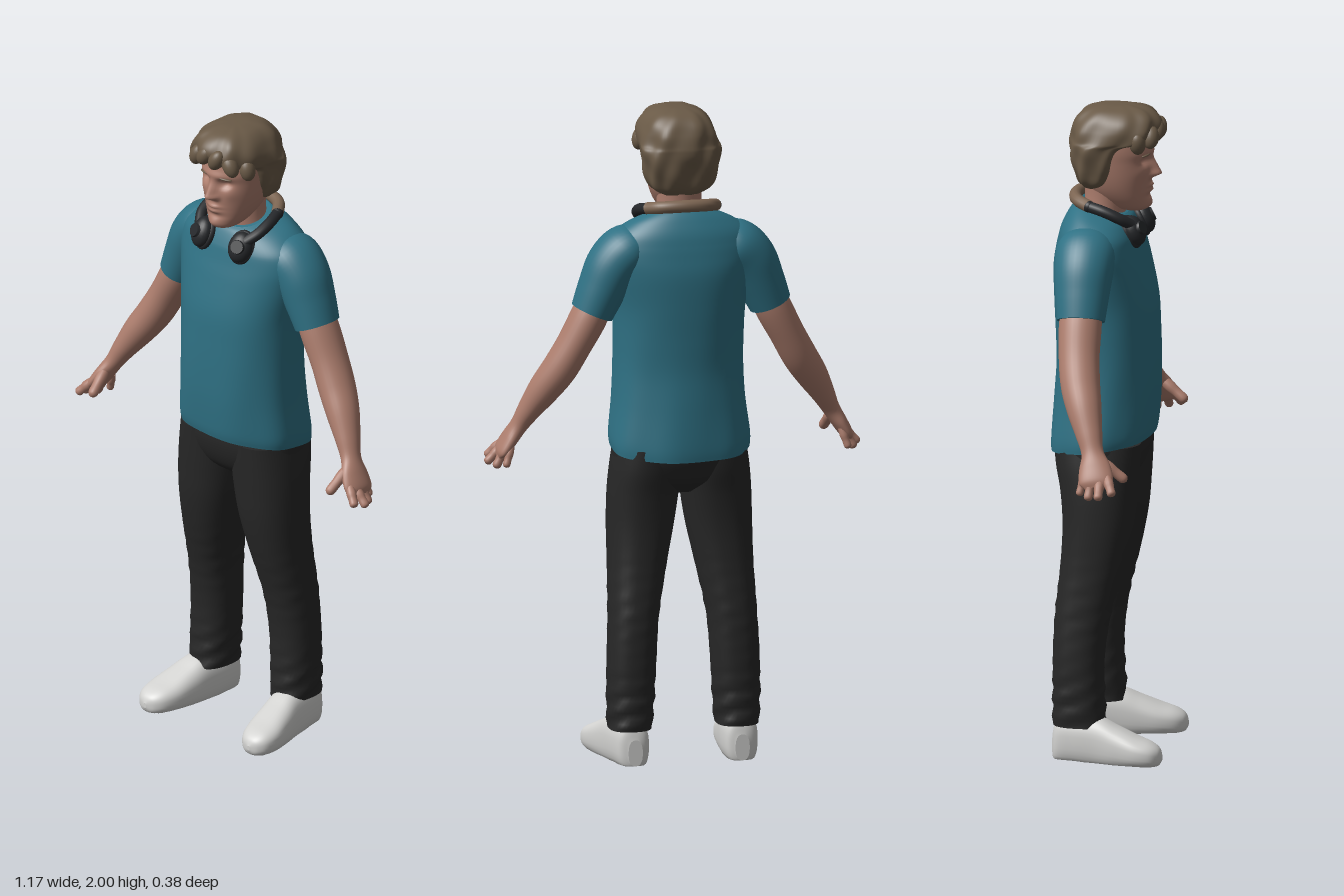
import * as THREE from 'three';

const mat = (name, color) => { const m = new THREE.MeshStandardMaterial({ color }); m.name = name; return m; };
const V = (x, y, z) => new THREE.Vector3(x, y, z);
const gauss = (d, w) => Math.exp(-(d / w) * (d / w));
const Y = V(0, 1, 0), Z = V(0, 0, 1);

// Smooth interpolation through rows of numbers
function sample(keys, t) {
  const f = t * (keys.length - 1), i = Math.min(Math.floor(f), keys.length - 2), u = f - i;
  const k = j => keys[Math.max(0, Math.min(keys.length - 1, j))];
  return keys[i].map((b, c) => {
    const a = k(i - 1)[c], d = k(i + 1)[c], e = k(i + 2)[c];
    return b + 0.5 * u * (d - a + u * (2 * a - 5 * b + 4 * d - e + u * (3 * (b - d) + e - a)));
  });
}

// Closed skin over rings [x, y, z, radiusU, radiusV]; a fixed axis or the path direction sets the ring plane
function loft(keys, { n = 28, steps = 6, exp = 2, axis = null, ref = Z, warp = null } = {}) {
  const rings = (keys.length - 1) * steps, pos = [], idx = [];
  const at = t => V(...sample(keys, t).slice(0, 3));
  for (let j = 0; j <= rings; j++) {
    const t = j / rings, [x, y, z, ru, rv] = sample(keys, t);
    const dir = axis || at(Math.min(1, t + 0.01)).sub(at(Math.max(0, t - 0.01))).normalize();
    const v = ref.clone().addScaledVector(dir, -ref.dot(dir)).normalize();
    const u = dir.clone().cross(v);
    for (let i = 0; i < n; i++) {
      const a = i / n * Math.PI * 2, c = Math.cos(a), s = Math.sin(a);
      const p = V(x, y, z)
        .addScaledVector(u, Math.max(0.001, ru) * Math.sign(c) * Math.abs(c) ** (2 / exp))
        .addScaledVector(v, Math.max(0.001, rv) * Math.sign(s) * Math.abs(s) ** (2 / exp));
      if (warp) warp(p, a);
      pos.push(p.x, p.y, p.z);
      if (j < rings) {
        const k = j * n + i, m = j * n + (i + 1) % n;
        idx.push(k, k + n, m, m, k + n, m + n);
      }
    }
  }
  // Flat end caps with their own vertices
  for (const j of [0, rings]) {
    const b = pos.length / 3, c = at(j / rings);
    const ring = pos.slice(j * n * 3, (j + 1) * n * 3);
    let cy = 0;
    for (let i = 0; i < n; i++) cy += ring[i * 3 + 1] / n;
    pos.push(...ring, c.x, cy, c.z);
    for (let i = 0; i < n; i++) {
      const k = b + i, m = b + (i + 1) % n;
      j ? idx.push(m, k, b + n) : idx.push(k, m, b + n);
    }
  }
  const g = new THREE.BufferGeometry();
  g.setAttribute('position', new THREE.Float32BufferAttribute(pos, 3));
  g.setIndex(idx);
  g.computeVertexNormals();
  return g;
}

// Upright section from [height, centre x, half width, front z, back z]
const stack = rows => rows.map(([y, x, rx, f, b]) => [x, y, (f + b) / 2, rx, (f - b) / 2]);

export function createModel() {
  const root = new THREE.Group();
  const skin = mat('skin', 0xac7d6d), shirt = mat('teal cloth', 0x2f7184), black = mat('black cloth', 0x272727);
  const hair = mat('brown hair', 0x6a5a47), white = mat('white shoe', 0xd2d2d0);
  const plastic = mat('dark plastic', 0x25272a), pad = mat('tan padding', 0x7c6552);
  const add = (name, geo, m, parent = root) => {
    const o = new THREE.Mesh(geo, m); o.name = name; parent.add(o); return o;
  };
  const blob = (name, m, p, s, parent = root) => {
    const o = add(name, new THREE.SphereGeometry(1, 24, 16), m, parent);
    o.position.set(...p); o.scale.set(...s); return o;
  };

  // Shirt body, hem low at the back and neckline low at the front
  add('shirt', loft(stack([
    [0.962, 0, 0.212, 0.125, -0.185], [1.0, 0, 0.214, 0.132, -0.185], [1.1, 0, 0.203, 0.14, -0.176],
    [1.2, 0, 0.198, 0.142, -0.168], [1.3, 0, 0.198, 0.14, -0.17], [1.4, 0, 0.203, 0.134, -0.174],
    [1.5, 0, 0.222, 0.112, -0.175], [1.56, 0, 0.232, 0.095, -0.167], [1.61, 0, 0.218, 0.082, -0.155],
    [1.645, 0, 0.172, 0.07, -0.132], [1.668, 0, 0.118, 0.058, -0.11], [1.676, 0, 0.08, 0.045, -0.095],
  ]), { n: 64, exp: 2.25, axis: Y, warp: (p, a) => {
    const low = Math.max(0, Math.min(1, (1.4 - p.y) / 0.4)), w = 1 + 0.014 * low * Math.sin(a * 7 + p.y * 5);
    p.x *= w; p.z *= w;
    p.y += p.z * (0.14 * Math.max(0, 1 - (p.y - 0.96) / 0.2) - 0.3 * Math.max(0, (p.y - 1.6) / 0.076));
  } }), shirt);
  const collar = add('collar', new THREE.TorusGeometry(0.078, 0.008, 10, 40), shirt);
  collar.position.set(0, 1.674, -0.025); collar.rotation.x = Math.PI / 2 + 0.28; collar.scale.y = 0.9;

  // Trouser seat
  add('trouserSeat', loft(stack([
    [0.825, 0, 0.06, 0.03, -0.09], [0.86, 0, 0.15, 0.075, -0.135], [0.9, 0, 0.198, 0.098, -0.155],
    [0.95, 0, 0.206, 0.11, -0.168], [1.0, 0, 0.2, 0.11, -0.165],
  ]), { n: 40, exp: 2.4, axis: Y }), black);

  for (const s of [1, -1]) {
    const side = new THREE.Group(); side.name = s > 0 ? 'leftLimbs' : 'rightLimbs'; root.add(side);
    const mirror = rows => rows.map(([x, ...r]) => [x * s, ...r]);

    // Trouser leg with soft folds at knee and cuff
    add('trouserLeg', loft(stack([
      [0.105, 0.166, 0.066, 0.01, -0.153], [0.2, 0.164, 0.071, 0.004, -0.153], [0.32, 0.16, 0.074, 0.003, -0.153],
      [0.45, 0.152, 0.076, 0.022, -0.148], [0.6, 0.135, 0.088, 0.06, -0.134], [0.72, 0.122, 0.1, 0.084, -0.13],
      [0.82, 0.113, 0.106, 0.094, -0.138], [0.9, 0.106, 0.105, 0.1, -0.153], [0.97, 0.1, 0.1, 0.104, -0.16],
    ].map(([y, x, ...r]) => [y, x * s, ...r])), { n: 36, exp: 2.3, axis: Y, warp: (p, a) => {
      const fold = gauss(p.y - 0.17, 0.09) + 0.5 * gauss(p.y - 0.48, 0.1);
      p.z += 0.004 * fold * Math.sin(p.y * 110 + a * 2);
      p.x += 0.003 * fold * Math.sin(p.y * 95 + a * 3);
    } }), black, side);

    // Shoe with a flat sole, toe turned out
    add('shoe', loft(mirror([
      [0.166, 0.04, -0.152, 0.022, 0.04], [0.168, 0.055, -0.135, 0.047, 0.075], [0.172, 0.058, -0.08, 0.056, 0.08],
      [0.181, 0.054, -0.01, 0.058, 0.08], [0.192, 0.045, 0.05, 0.062, 0.064], [0.203, 0.036, 0.11, 0.063, 0.048],
      [0.209, 0.03, 0.155, 0.052, 0.038], [0.211, 0.026, 0.18, 0.031, 0.026], [0.212, 0.024, 0.19, 0.005, 0.008],
    ]), { n: 36, exp: 2.5, axis: Z, ref: Y, warp: p => { p.y = Math.max(0, p.y); } }), white, side);

    // Sleeve
    add('sleeve', loft(mirror([
      [0.12, 1.6, -0.05, 0.05, 0.07], [0.165, 1.578, -0.05, 0.078, 0.092], [0.21, 1.53, -0.05, 0.082, 0.09],
      [0.245, 1.46, -0.049, 0.074, 0.082], [0.276, 1.388, -0.047, 0.065, 0.073],
    ]), { n: 36 }), shirt, side);

    // Arm running into the palm
    add('arm', loft(mirror([
      [0.25, 1.45, -0.047, 0.05, 0.06], [0.285, 1.375, -0.047, 0.056, 0.065], [0.33, 1.29, -0.042, 0.053, 0.062],
      [0.372, 1.215, -0.03, 0.053, 0.06], [0.415, 1.15, -0.01, 0.048, 0.053], [0.455, 1.085, 0.012, 0.036, 0.041],
      [0.483, 1.035, 0.028, 0.027, 0.034], [0.508, 0.995, 0.04, 0.024, 0.048], [0.532, 0.957, 0.048, 0.02, 0.052],
      [0.543, 0.94, 0.051, 0.01, 0.035],
    ]), { n: 28 }), skin, side);

    // Fingers and thumb: knuckle to tip
    const digits = [
      [0.515, 0.965, 0.008, 0.532, 0.912, -0.004, 0.012], [0.527, 0.96, 0.033, 0.557, 0.905, 0.027, 0.014],
      [0.535, 0.957, 0.06, 0.578, 0.913, 0.062, 0.014], [0.532, 0.965, 0.084, 0.568, 0.925, 0.104, 0.014],
      [0.495, 1.01, 0.06, 0.484, 0.952, 0.132, 0.016],
    ];
    digits.forEach(([x, y, z, X, Yt, Zt, r], i) => {
      const mix = (t, k) => [x + (X - x) * t, y + (Yt - y) * t, z + (Zt - z) * t, k * r, k * r];
      add(i < 4 ? 'finger' : 'thumb', loft(mirror([
        mix(-0.15, 0.9), mix(0.25, 1.1), mix(0.55, 0.95), mix(0.85, 0.95), mix(0.97, 0.65), mix(1.02, 0.05),
      ]), { n: 14, steps: 4, ref: V(0.5 * s, 0, 1) }), skin, side);
    });

    // Headphone cup with a cushion ring
    const cup = new THREE.Group(); cup.name = 'headphoneCup'; side.add(cup);
    cup.position.set(s * 0.077, 1.624, 0.076); cup.rotation.set(-0.45, s * 0.3, 0);
    blob('cupShell', plastic, [0, 0, 0.004], [0.038, 0.048, 0.03], cup);
    const ring = add('cupCushion', new THREE.TorusGeometry(0.029, 0.013, 12, 32), plastic, cup);
    ring.scale.y = 1.28; ring.position.z = -0.008;
    const cap = add('cupCap', new THREE.CylinderGeometry(0.02, 0.024, 0.012, 28), plastic, cup);
    cap.rotation.x = Math.PI / 2; cap.position.z = 0.03;
    // Dark arm of the band
    const arc = new THREE.CatmullRomCurve3([[0.092, 1.645, 0.075], [0.114, 1.668, 0.04], [0.118, 1.688, -0.005],
      [0.106, 1.7, -0.055]].map(([x, y, z]) => V(s * x, y, z)));
    add('bandArm', new THREE.TubeGeometry(arc, 24, 0.017, 12), plastic, side);
    blob('bandEnd', plastic, [s * 0.106, 1.7, -0.055], [0.018, 0.018, 0.018], side);
    // Eyebrow
    const brow = blob('eyebrow', hair, [s * 0.04, 1.852, 0.108], [0.023, 0.004, 0.008], side);
    brow.rotation.set(0, s * 0.35, -s * 0.08);
  }

  // Padding of the band behind the neck
  const back = new THREE.CatmullRomCurve3([[0.106, 1.7, -0.055], [0.07, 1.71, -0.097], [0, 1.714, -0.113],
    [-0.07, 1.71, -0.097], [-0.106, 1.7, -0.055]].map(p => V(...p)));
  add('bandPadding', new THREE.TubeGeometry(back, 40, 0.019, 12), pad);

  // Neck
  add('neck', loft(stack([
    [1.6, 0, 0.085, 0.04, -0.1], [1.66, 0, 0.072, 0.038, -0.09], [1.72, 0, 0.068, 0.04, -0.085], [1.8, 0, 0.07, 0.04, -0.09],
  ]), { axis: Y }), skin);

  // Head with nose, brow, eye sockets, lips and chin
  add('head', loft(stack([
    [1.672, 0, 0.022, 0.09, 0.035], [1.682, 0, 0.043, 0.108, 0.0], [1.705, 0, 0.062, 0.113, -0.045],
    [1.74, 0, 0.079, 0.114, -0.08], [1.78, 0, 0.09, 0.117, -0.1], [1.83, 0, 0.097, 0.117, -0.112],
    [1.88, 0, 0.1, 0.116, -0.115], [1.93, 0, 0.09, 0.1, -0.1], [1.965, 0, 0.05, 0.05, -0.06], [1.975, 0, 0.005, 0.005, -0.005],
  ]), { n: 96, steps: 9, exp: 2.15, axis: Y, warp: p => {
    if (p.z < 0.02) return;
    const x = Math.abs(p.x), y = p.y;
    const bridge = Math.max(0, Math.min(1, (1.85 - y) / 0.06)) * Math.max(0, Math.min(1, (y - 1.772) / 0.014));
    p.z += 0.032 * bridge * gauss(x, 0.015) + 0.009 * gauss(x - 0.016, 0.009) * gauss(y - 1.786, 0.01);
    p.z -= 0.017 * gauss(x - 0.038, 0.019) * gauss(y - 1.832, 0.014);
    p.z += 0.007 * gauss(x, 0.07) * gauss(y - 1.856, 0.013);
    p.z += 0.009 * gauss(x, 0.024) * (gauss(y - 1.752, 0.006) + gauss(y - 1.737, 0.007));
    p.z += 0.008 * gauss(x, 0.025) * gauss(y - 1.695, 0.015) - 0.004 * gauss(x, 0.03) * gauss(y - 1.72, 0.008);
    p.z += 0.004 * gauss(x - 0.055, 0.02) * gauss(y - 1.8, 0.02);
  } }), skin);

  // Hair mass, overhanging the forehead, with wavy locks
  const waves = (p, a) => {
    const w = 1 + 0.025 * Math.sin(a * 9 + p.y * 32) + 0.018 * Math.sin(a * 5 - p.y * 55);
    p.x *= w; p.z = -0.01 + (p.z + 0.01) * w;
  };
  add('hair', loft(stack([
    [1.742, 0, 0.055, -0.03, -0.085], [1.762, 0, 0.092, 0.012, -0.102], [1.8, 0, 0.109, 0.03, -0.115],
    [1.85, 0, 0.118, 0.045, -0.126], [1.88, 0, 0.121, 0.065, -0.128], [1.897, 0, 0.119, 0.125, -0.127],
    [1.93, 0, 0.113, 0.146, -0.122], [1.962, 0, 0.097, 0.138, -0.106], [1.985, 0, 0.07, 0.11, -0.078],
    [1.996, 0, 0.035, 0.065, -0.035], [1.998, 0, 0.004, 0.025, 0.01],
  ]), { n: 80, steps: 7, exp: 2.5, axis: Y, warp: waves }), hair);
  // Fringe locks: position and tilt
  for (const [x, y, z, tilt] of [[-0.085, 1.897, 0.09, 0.3], [-0.055, 1.912, 0.125, -0.4], [-0.015, 1.925, 0.135, -0.6],
    [0.03, 1.922, 0.134, -0.5], [0.07, 1.908, 0.115, 0.5], [0.098, 1.89, 0.07, 0.2]]) {
    const lock = blob('fringeLock', hair, [x, y, z], [0.024, 0.036, 0.025]);
    lock.rotation.z = tilt;
  }
  return root;
}
